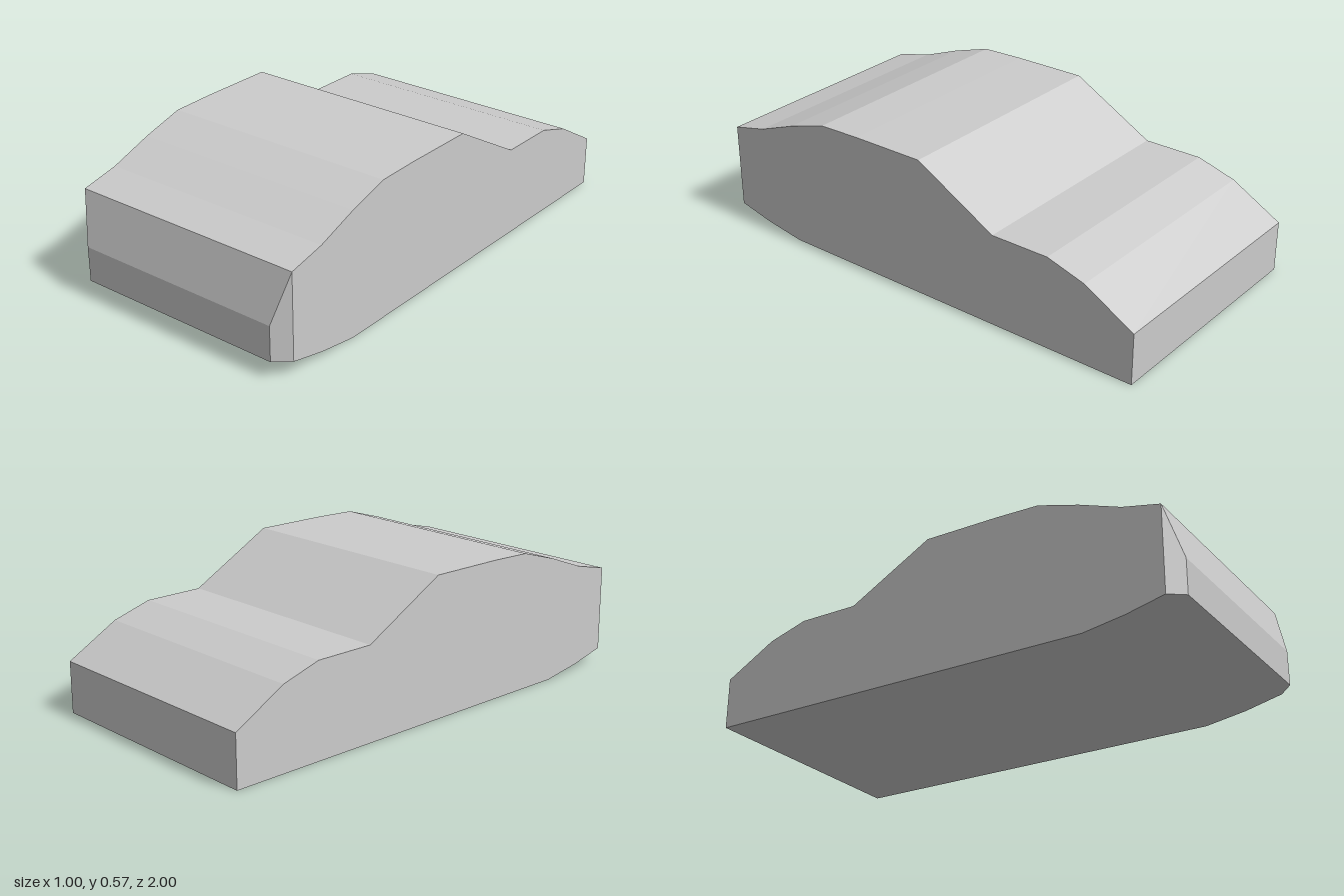
import * as THREE from 'three';

// Cross-sections from tail to nose: [z, half width, bottom y, top y]
const bodySections = [
  [-1, 0.5, 0, 0.208],
  [-0.79, 0.5, 0, 0.327],
  [-0.63, 0.5, 0, 0.375],
  [-0.385, 0.5, 0, 0.375],
  [-0.04, 0.5, 0, 0.567],
  [0.27, 0.5, 0, 0.566],
  [0.45, 0.5, 0, 0.561],
  [0.62, 0.5, 0, 0.51],
  [0.79, 0.5, 0.027, 0.447],
  [0.943, 0.5, 0.063, 0.412],
];
const noseSections = [
  bodySections[bodySections.length - 1],
  [1, 0.445, 0.068, 0.21],
];

// Joins rectangular cross-sections into a skin, optionally closing either end
function loft(sections, capBack, capFront) {
  const rings = sections.map(([z, w, b, t]) => [[-w, b, z], [w, b, z], [w, t, z], [-w, t, z]]);
  const positions = [];
  const quad = (a, b, c, d) => positions.push(...a, ...b, ...c, ...a, ...c, ...d);
  for (let i = 0; i < rings.length - 1; i++) {
    for (let k = 0; k < 4; k++) {
      const n = (k + 1) % 4;
      quad(rings[i][k], rings[i][n], rings[i + 1][n], rings[i + 1][k]);
    }
  }
  if (capBack) quad(...[...rings[0]].reverse());
  if (capFront) quad(...rings[rings.length - 1]);
  const geometry = new THREE.BufferGeometry();
  geometry.setAttribute('position', new THREE.Float32BufferAttribute(positions, 3));
  geometry.computeVertexNormals();
  return geometry;
}

export function createModel() {
  const group = new THREE.Group();
  group.name = 'carBody';
  const material = new THREE.MeshStandardMaterial({ color: 0xcccccc, flatShading: true });
  const add = (name, geometry) => {
    const mesh = new THREE.Mesh(geometry, material);
    mesh.name = name;
    group.add(mesh);
  };

  // Hull with boot, cabin roof and bonnet
  add('hull', loft(bodySections, true, false));
  // Tapered nose with angled cheeks
  add('nose', loft(noseSections, false, true));

  return group;
}
